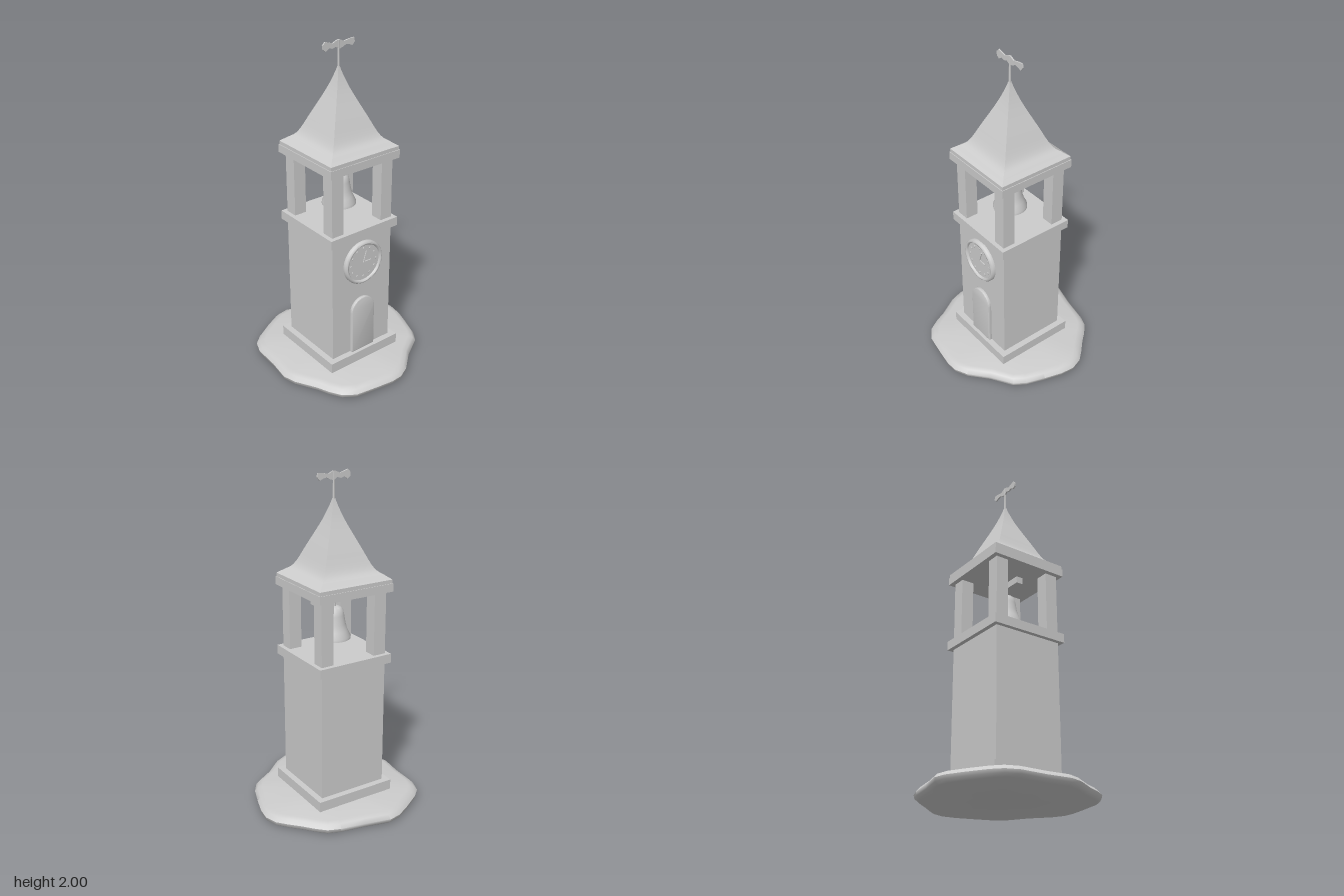
import * as THREE from 'three';
import { toCreasedNormals } from 'three/addons/utils/BufferGeometryUtils.js';

export function createModel() {
  const model = new THREE.Group();
  const stone = new THREE.MeshStandardMaterial({ color: 0xcccccc });
  stone.name = 'pale stone';

  // Everything but the ground sits on the tower axis
  const tower = new THREE.Group();
  tower.name = 'tower';
  tower.position.set(-0.026, 0, -0.006);
  model.add(tower);

  function add(name, geometry, x = 0, y = 0, z = 0, parent = tower) {
    const mesh = new THREE.Mesh(geometry, stone);
    mesh.name = name;
    mesh.position.set(x, y, z);
    parent.add(mesh);
    return mesh;
  }
  const block = (name, half, y0, y1, x = 0, z = 0) =>
    add(name, new THREE.BoxGeometry(half * 2, y1 - y0, half * 2), x, (y0 + y1) / 2, z);
  const lathe = (points, segments) =>
    new THREE.LatheGeometry(points.map(([r, y]) => new THREE.Vector2(r, y)), segments);

  // Irregular ground slab: one outline scaled through a rounded edge profile
  const outline = [
    [-0.107, -0.5], [0.043, -0.459], [0.192, -0.429], [0.264, -0.4], [0.317, -0.347],
    [0.365, -0.288], [0.421, -0.229], [0.472, -0.168], [0.496, -0.093], [0.485, -0.008],
    [0.451, 0.099], [0.41, 0.213], [0.365, 0.28], [0.237, 0.36], [0.128, 0.456],
    [0.053, 0.493], [-0.016, 0.497], [-0.117, 0.483], [-0.261, 0.459], [-0.331, 0.41],
    [-0.373, 0.339], [-0.403, 0.267], [-0.475, 0.141], [-0.498, 0.061], [-0.48, -0.08],
    [-0.475, -0.24], [-0.445, -0.317], [-0.389, -0.368], [-0.277, -0.437], [-0.181, -0.488],
  ];
  const edge = [[0, 0], [0.95, 0], [0.99, 0.015], [1, 0.035], [0.96, 0.058], [0.9, 0.067], [0, 0.07]];
  const positions = [];
  const indices = [];
  const n = outline.length;
  edge.forEach(([s, y], i) => {
    outline.forEach(([x, z], j) => {
      positions.push(x * s, y, z * s);
      if (i === edge.length - 1) return;
      const a = i * n + j, b = i * n + (j + 1) % n;
      indices.push(a, a + n, b, b, a + n, b + n);
    });
  });
  const ground = new THREE.BufferGeometry();
  ground.setAttribute('position', new THREE.Float32BufferAttribute(positions, 3));
  ground.setIndex(indices);
  add('ground', toCreasedNormals(ground, 0.9), 0, 0, 0, model);

  // Masonry
  block('plinth', 0.253, 0.06, 0.13);
  block('towerBody', 0.215, 0.13, 0.9);
  block('belfryFloor', 0.241, 0.9, 0.955);
  for (const x of [-1, 1]) {
    for (const z of [-1, 1]) block('belfryPillar', 0.039, 0.955, 1.33, x * 0.176, z * 0.176);
  }
  block('roofPlate', 0.243, 1.33, 1.378);

  // Flared four-sided roof
  const curve = new THREE.SplineCurve([
    [0.239, 1.4], [0.205, 1.425], [0.162, 1.464], [0.109, 1.58],
    [0.05, 1.713], [0.02, 1.795], [0.004, 1.85],
  ].map(([r, y]) => new THREE.Vector2(r, y)));
  const profile = [[0, 1.378], [0.239, 1.378], ...curve.getPoints(22).map((p) => [p.x, p.y])];
  const roof = lathe(profile.map(([r, y]) => [r * Math.SQRT2, y]), 4);
  roof.rotateY(Math.PI / 4);
  add('roof', toCreasedNormals(roof, 0.6));

  // Weather vane
  add('vaneRod', new THREE.CylinderGeometry(0.005, 0.007, 0.16, 10), 0, 1.91, 0);
  const vane = new THREE.Shape([
    [-0.108, 1.978], [-0.09, 1.995], [-0.06, 1.985], [-0.04, 1.979], [-0.015, 1.99], [0.005, 1.994],
    [0.035, 1.979], [0.075, 1.986], [0.104, 1.988], [0.109, 1.965], [0.092, 1.946], [0.072, 1.955],
    [0.05, 1.96], [0.025, 1.948], [0.002, 1.942], [-0.02, 1.957], [-0.045, 1.95], [-0.065, 1.957],
    [-0.088, 1.942], [-0.105, 1.955],
  ].map(([x, y]) => new THREE.Vector2(x, y)));
  add('vane', new THREE.ExtrudeGeometry(vane, { depth: 0.008, bevelEnabled: false }), 0, 0, -0.004);

  // Bell on its beam
  add('bellBeam', new THREE.BoxGeometry(0.285, 0.04, 0.042), 0, 1.272, 0);
  add('bellNeck', new THREE.CylinderGeometry(0.014, 0.016, 0.05, 16), 0, 1.235, 0);
  const bell = lathe([
    [0, 1.045], [0.085, 1.035], [0.092, 1.027], [0.1, 1.03], [0.099, 1.045], [0.082, 1.08],
    [0.07, 1.12], [0.062, 1.17], [0.056, 1.2], [0.042, 1.217], [0.022, 1.224], [0, 1.225],
  ], 32);
  add('bell', toCreasedNormals(bell, 0.9));

  // Clock on the front wall
  const clock = new THREE.Group();
  clock.name = 'clock';
  clock.position.set(0, 0.732, 0.215);
  tower.add(clock);
  const face = new THREE.CylinderGeometry(0.12, 0.12, 0.014, 48);
  face.rotateX(Math.PI / 2);
  add('clockFace', face, 0, 0, 0.007, clock);
  const rim = lathe([[0.115, 0], [0.115, 0.022], [0.12, 0.028], [0.128, 0.028], [0.136, 0.018], [0.136, 0]], 48);
  rim.rotateX(Math.PI / 2);
  // The profile runs inside to outside, so its faces are turned over
  rim.setIndex(Array.from(rim.index.array).reverse());
  add('clockRim', toCreasedNormals(rim, 0.9), 0, 0, 0, clock);
  for (let i = 0; i < 12; i++) {
    const a = (i * Math.PI) / 6;
    const mark = new THREE.CylinderGeometry(0.007, 0.007, 0.006, 10);
    mark.rotateX(Math.PI / 2);
    add('hourMark', mark, Math.sin(a) * 0.092, Math.cos(a) * 0.092, 0.016, clock);
  }
  for (const [name, length, angle] of [['hourHand', 0.055, Math.PI / 2], ['minuteHand', 0.072, 0.3]]) {
    const hand = new THREE.BoxGeometry(0.008, length, 0.006);
    hand.translate(0, length / 2, 0);
    add(name, hand, 0, 0, 0.017, clock).rotation.z = -angle;
  }

  // Arched door
  const arch = new THREE.Shape();
  arch.moveTo(-0.08, 0.135);
  arch.lineTo(0.08, 0.135);
  arch.lineTo(0.08, 0.408);
  arch.absarc(0, 0.408, 0.08, 0, Math.PI, false);
  arch.closePath();
  const door = new THREE.ExtrudeGeometry(arch, {
    depth: 0.014, bevelThickness: 0.006, bevelSize: 0.005, bevelSegments: 2, curveSegments: 20,
  });
  add('door', toCreasedNormals(door, 0.6), 0, 0, 0.215);

  return model;
}
